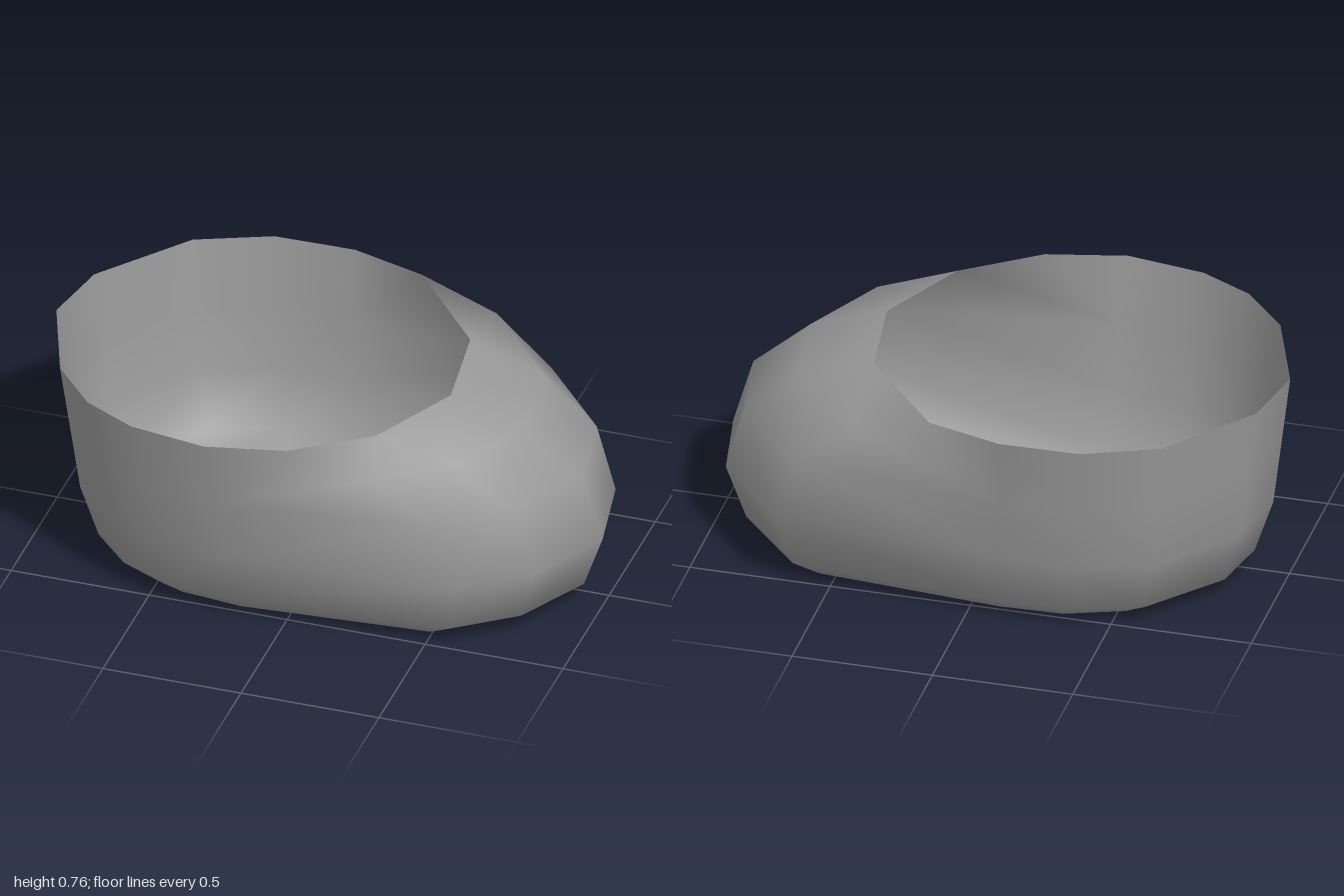
import * as THREE from 'three';
import { mergeVertices } from 'three/addons/utils/BufferGeometryUtils.js';

// Opening outline and widest outline as [x, z], running from the toe round the +z side to the heel and back
const RIM = [
  [0.46, 0.10], [0.30, 0.43], [0.04, 0.62], [-0.24, 0.685], [-0.52, 0.64], [-0.71, 0.54], [-0.87, 0.36],
  [-1.0, 0.01], [-0.95, -0.25], [-0.70, -0.57], [-0.44, -0.68], [-0.15, -0.685], [0.12, -0.605], [0.41, -0.26],
];
const WIDE = [
  [1.0, 0.07], [0.85, 0.36], [0.62, 0.54], [-0.21, 0.60], [-0.48, 0.57], [-0.66, 0.48], [-0.81, 0.32],
  [-0.94, 0.01], [-0.89, -0.24], [-0.66, -0.52], [-0.41, -0.61], [-0.13, -0.62], [0.68, -0.55], [0.94, -0.25],
];
const TOE = new Set([0, 1, 2, 12, 13]);
const HEEL = 7;
const N = RIM.length;
const TOP = 0.765, WIDE_Y = 0.27;

// Smooth normals weighted by corner angle, so the big sole faces do not dominate the edge
function smoothNormals(geometry) {
  const pos = geometry.attributes.position, index = geometry.index.array;
  const point = (i) => new THREE.Vector3().fromBufferAttribute(pos, i);
  const sums = Array.from({ length: pos.count }, () => new THREE.Vector3());
  for (let f = 0; f < index.length; f += 3) {
    const ids = [index[f], index[f + 1], index[f + 2]];
    if (new Set(ids).size < 3) continue;
    for (let k = 0; k < 3; k++) {
      const p = point(ids[k]);
      const u = point(ids[(k + 1) % 3]).sub(p), v = point(ids[(k + 2) % 3]).sub(p);
      sums[ids[k]].addScaledVector(u.clone().cross(v).normalize(), u.angleTo(v));
    }
  }
  const normals = sums.flatMap((n) => n.normalize().toArray());
  geometry.setAttribute('normal', new THREE.Float32BufferAttribute(normals, 3));
  return geometry;
}

function shellGeometry() {
  const pos = [], index = [];

  // Upper: a domed cap over the toe; on the straight walls the first two inner rings share one height
  for (const [toeY, bulge, wallY] of [[TOP, 0, TOP], [0.68, 0.5, 0.51], [0.51, 0.87, 0.51], [WIDE_Y, 1, WIDE_Y]]) {
    for (let i = 0; i < N; i++) {
      const toe = TOE.has(i);
      const t = toe ? bulge : (TOP - wallY) / (TOP - WIDE_Y);
      pos.push(
        THREE.MathUtils.lerp(RIM[i][0], WIDE[i][0], t), toe ? toeY : wallY,
        THREE.MathUtils.lerp(RIM[i][1], WIDE[i][1], t),
      );
    }
  }

  // Rounded lower edge
  for (const [y, sx, sz] of [[0.07, 0.93, 0.905], [0.02, 0.81, 0.83]]) {
    for (const [x, z] of WIDE) pos.push(x * sx, y, z * sz);
  }

  // Walls between neighbouring rings, with diagonals mirrored on the two sides
  const rings = pos.length / 3 / N;
  for (let r = 0; r < rings - 1; r++) {
    for (let i = 0; i < N; i++) {
      const j = (i + 1) % N;
      const a = r * N + i, b = r * N + j, c = a + N, d = b + N;
      if (i < HEEL) index.push(a, b, d, a, d, c);
      else index.push(a, b, c, b, d, c);
    }
  }

  // Slightly bulging sole
  const centre = pos.length / 3;
  pos.push(0, 0, 0);
  for (let i = 0; i < N; i++) {
    index.push(centre, (rings - 1) * N + i, (rings - 1) * N + (i + 1) % N);
  }

  const geometry = new THREE.BufferGeometry();
  geometry.setAttribute('position', new THREE.Float32BufferAttribute(pos, 3));
  geometry.setIndex(index);
  return smoothNormals(mergeVertices(geometry));
}

export function createModel() {
  const group = new THREE.Group();
  group.name = 'slipper';
  const shell = new THREE.Mesh(
    shellGeometry(),
    new THREE.MeshStandardMaterial({ color: 0x999999, side: THREE.DoubleSide }),
  );
  shell.name = 'slipperShell';
  group.add(shell);
  return group;
}
